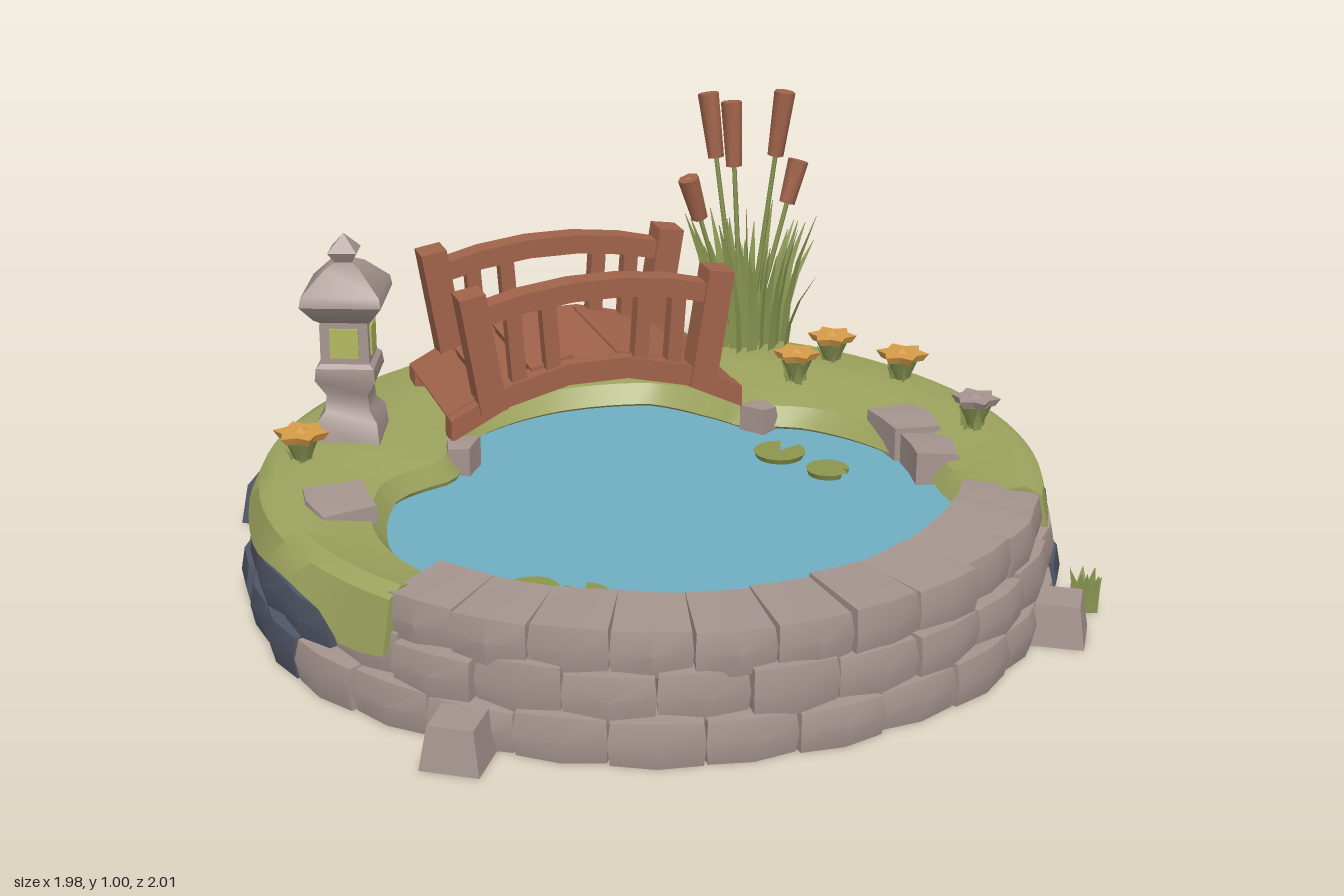
import * as THREE from 'three';
import { mergeGeometries, toCreasedNormals } from 'three/addons/utils/BufferGeometryUtils.js';

const mat = (name, color, side = THREE.FrontSide) => {
  const m = new THREE.MeshStandardMaterial({ color, side });
  m.name = name;
  return m;
};
const RAD = Math.PI / 180;
const V = (x, y, z) => new THREE.Vector3(x, y, z);

export function createModel() {
  const M = {
    stone: mat('warm stone', 0xa5948e),
    dark: mat('dark stone', 0x505666),
    moss: mat('moss green', 0x9ca35d, THREE.DoubleSide),
    water: mat('water blue', 0x70adc2, THREE.DoubleSide),
    wood: mat('red brown wood', 0xa0634a),
    flower: mat('orange petals', 0xd69c4a),
    reed: mat('reed green', 0x8a9752, THREE.DoubleSide),
    lily: mat('lily green', 0x8b954e, THREE.DoubleSide),
    glow: mat('lantern glow', 0xb2ba60),
  };
  const root = new THREE.Group();
  root.name = 'gardenPond';
  const add = (name, geo, material, parent = root) => {
    const mesh = new THREE.Mesh(geo, material);
    mesh.name = name;
    parent.add(mesh);
    return mesh;
  };
  let seed = 7;
  const rnd = (a = 0, b = 1) => {
    seed = (seed * 16807) % 2147483647;
    return a + (b - a) * (seed / 2147483647);
  };
  const crease = (g, deg = 35) => toCreasedNormals(g, deg * RAD);

  // Curved stone block: angle t (degrees from the front), radii, heights, inward slope of the inner face
  const stone = (t, width, r0, r1, y0, y1, slope = 0) => {
    const g = new THREE.BoxGeometry(1, 1, 1, 2, 2, 1);
    const p = g.attributes.position;
    const skew = rnd(-0.008, 0.008), out = rnd(-0.008, 0.012), lift = rnd(-0.006, 0.006);
    for (let i = 0; i < p.count; i++) {
      const u = p.getX(i), v = p.getY(i), w = p.getZ(i);
      const side = Math.abs(u) > 0.4, rim = Math.abs(v) > 0.4;
      const a = (t + u * width * (rim && w > 0 ? 0.96 : 1)) * RAD;
      const r = w > 0 ? r1 - (side ? 0.012 : 0) - (rim ? 0.01 : 0) + out + u * skew * 2 : r0 - slope * (v + 0.5);
      const top = y1 + lift - (side && w > 0 ? 0.007 : 0) + u * skew;
      const y = v > 0.4 ? top : v < -0.4 ? y0 : (y0 + y1) / 2;
      p.setXYZ(i, r * Math.sin(a), y, r * Math.cos(a));
    }
    return crease(g, 30);
  };

  // Stone courses, warm at the front and dark at the back
  const warm = [], cold = [];
  const courses = [[0, 0.102, 0.945, 0.992, 0.08], [0.092, 0.202, 0.87, 0.967, 0.06]];
  courses.forEach(([y0, y1, r0, r1, slope], c) => {
    const n = 30, step = 360 / n;
    for (let i = 0; i < n; i++) {
      const t = -180 + (i + c * 0.5) * step;
      (t > -78 && t < 56 ? warm : cold).push(stone(t, step, r0, r1, y0, y1, slope));
    }
  });
  for (let i = 0; i < 11; i++) warm.push(stone(-57 + i * 10.8, 10.8, 0.75, 0.95, 0.185, 0.293));
  add('warmStoneWall', mergeGeometries(warm), M.stone);
  add('darkStoneWall', mergeGeometries(cold), M.dark);
  add('bankStones', mergeGeometries([
    stone(75, 13, 0.65, 0.775, 0.18, 0.292), stone(89, 13, 0.64, 0.775, 0.18, 0.296),
    stone(-95, 12, 0.7, 0.86, 0.18, 0.3), stone(-131, 10, 0.455, 0.535, 0.18, 0.275),
    stone(121, 9, 0.465, 0.535, 0.18, 0.27)]), M.stone);

  // Water surface
  const water = add('water', new THREE.CircleGeometry(0.82, 48), M.water);
  water.rotation.x = -Math.PI / 2;
  water.position.y = 0.205;

  // Mossy bank: inner edge as [angle, radius], swept as a closed section
  const shore = [[53, 0.77], [60, 0.71], [79, 0.66], [110, 0.55], [125, 0.46], [140, 0.5], [155, 0.56], [180, 0.56],
    [208, 0.55], [217, 0.52], [226, 0.48], [240, 0.48], [252, 0.61], [274, 0.69], [285, 0.72], [299, 0.74]];
  const inner = (t) => {
    const i = Math.max(1, shore.findIndex(([a]) => a >= t));
    const [a0, r0] = shore[i - 1], [a1, r1] = shore[i];
    return r0 + (r1 - r0) * (t - a0) / (a1 - a0);
  };
  const pos = [], idx = [], N = 60, K = 8;
  for (let i = 0; i <= N; i++) {
    const t = 53 + 246 * i / N, r = inner(t), a = t * RAD;
    const hang = 0.205 + 0.014 * Math.sin(t * 0.21) - (i < 5 || i > N - 3 ? 0.05 : 0);
    const low = 0.195 - (t > 210 ? 0.35 * Math.max(0, 0.64 - r) : 0);
    const top = 0.285 + 0.01 * Math.sin(t * 0.06);
    [[r + 0.03, low], [r, 0.215], [r + 0.035, 0.262], [(r + 0.92) / 2, top], [0.9, 0.298], [0.94, 0.278],
      [0.968, hang], [0.9, 0.19]].forEach(([rr, y]) => pos.push(rr * Math.sin(a), y, rr * Math.cos(a)));
    for (let k = 0; k < K && i < N; k++) {
      const p = i * K + k, q = i * K + (k + 1) % K;
      idx.push(p, q, p + K, q, q + K, p + K);
    }
  }
  for (let k = 1; k < K - 1; k++) idx.push(0, k + 1, k, N * K, N * K + k, N * K + k + 1);
  const bank = new THREE.BufferGeometry();
  bank.setAttribute('position', new THREE.Float32BufferAttribute(pos, 3));
  bank.setIndex(idx);
  add('mossBank', crease(bank, 40), M.moss);

  // Loose rocks leaning at the foot of the wall
  [[-0.75, -0.7, 'dark'], [0.88, -0.53, 'dark'], [0.7, 0.73, 'stone'], [-0.76, 0.69, 'stone'],
    [-0.27, -0.95, 'stone']].forEach(([x, z, m], i) => {
    const s = i === 4 ? 0.6 : 1;
    const g = new THREE.CylinderGeometry(0.072 * s, 0.094 * s, 0.1 * s, 4, 1);
    g.rotateY(Math.PI / 4);
    const rock = add('looseRock', crease(g), M[m]);
    rock.position.set(x, 0.05 * s, z);
    rock.rotation.y = Math.atan2(x, z) + 0.15;
  });

  // Arched wooden bridge
  const bridge = new THREE.Group();
  bridge.name = 'bridge';
  bridge.position.set(0.014, 0, -0.51);
  bridge.rotation.y = -0.1;
  root.add(bridge);
  const arch = (u, half, crown, drop) => crown - drop * (u / half) ** 2;
  const beam = (half, crown, drop, thick, depth) => {
    const s = new THREE.Shape(), n = 5;
    for (let i = 0; i <= n; i++) {
      const u = -half + 2 * half * i / n;
      s[i ? 'lineTo' : 'moveTo'](u, arch(u, half, crown, drop) - thick);
    }
    for (let i = n; i >= 0; i--) {
      const u = -half + 2 * half * i / n;
      s.lineTo(u, arch(u, half, crown, drop));
    }
    return new THREE.ExtrudeGeometry(s, { depth, bevelEnabled: false }).translate(0, 0, -depth / 2);
  };
  for (const side of [-1, 1]) {
    const z = side * 0.19;
    add('stringer', beam(0.385, 0.452, 0.12, 0.056, 0.06), M.wood, bridge).position.z = z;
    add('handrail', beam(0.325, 0.66, 0.05, 0.05, 0.06), M.wood, bridge).position.z = z;
    for (const end of [-1, 1]) {
      const post = add('post', new THREE.BoxGeometry(0.068, 0.31, 0.078), M.wood, bridge);
      post.position.set(end * 0.3, 0.497, z);
      post.rotation.z = -end * 0.16;
      for (const u of [0.12, 0.21]) {
        const bar = add('baluster', new THREE.BoxGeometry(0.038, 0.22, 0.04), M.wood, bridge);
        bar.position.set(end * u, 0.53 - u * 0.15, z);
        bar.rotation.z = -end * 0.07;
      }
    }
  }
  for (let i = 0; i < 7; i++) {
    const u = -0.33 + i * 0.11;
    const plank = add('plank', new THREE.BoxGeometry(0.113, 0.028, 0.37), M.wood, bridge);
    plank.position.set(u, arch(u, 0.385, 0.438, 0.12) + rnd(-0.008, 0.008), 0);
    plank.rotation.z = Math.atan(-0.24 * u / 0.385 ** 2) + rnd(-0.06, 0.06);
  }

  // Square stone lantern
  const lantern = new THREE.Group();
  lantern.name = 'lantern';
  lantern.position.set(-0.605, 0, -0.46);
  lantern.rotation.y = 18 * RAD;
  root.add(lantern);
  const profile = [[0.115, 0.27], [0.105, 0.345], [0.078, 0.37], [0.072, 0.41], [0.105, 0.455], [0.1, 0.485], [0.085, 0.495],
    [0.082, 0.6], [0.1, 0.61], [0.14, 0.65], [0.134, 0.675], [0.06, 0.73], [0.03, 0.742], [0.05, 0.768], [0.001, 0.81]];
  add('lanternBody', crease(new THREE.LatheGeometry(profile.map(([r, y]) => new THREE.Vector2(r, y)), 4)), M.stone, lantern);
  for (let i = 0; i < 4; i++) {
    const a = Math.PI / 4 + i * Math.PI / 2;
    const pane = add('lanternWindow', new THREE.BoxGeometry(0.07, 0.075, 0.008), M.glow, lantern);
    pane.position.set(Math.sin(a) * 0.06, 0.548, Math.cos(a) * 0.06);
    pane.rotation.y = a;
  }

  // Bent tapering blade from base to tip
  const blade = (base, tip, w) => {
    const dir = tip.clone().sub(base), a = rnd(-0.9, 0.9), p = [], ix = [];
    for (let i = 0; i <= 3; i++) {
      const s = i / 3, h = w * (1 - s ** 2) + 0.001;
      const c = V(base.x + dir.x * s * s, base.y + dir.y * s, base.z + dir.z * s * s);
      p.push(c.x - h * Math.cos(a), c.y, c.z - h * Math.sin(a), c.x + h * Math.cos(a), c.y, c.z + h * Math.sin(a));
      if (i < 3) ix.push(2 * i, 2 * i + 1, 2 * i + 2, 2 * i + 1, 2 * i + 3, 2 * i + 2);
    }
    const g = new THREE.BufferGeometry();
    g.setAttribute('position', new THREE.Float32BufferAttribute(p, 3));
    g.setIndex(ix);
    g.computeVertexNormals();
    return g;
  };
  const tuft = (name, x, y, z, count, spread, height, w, material) => {
    const list = [];
    for (let i = 0; i < count; i++) {
      const a = i * 2.4, s = Math.sqrt((i + 0.5) / count) * spread;
      const dx = Math.cos(a) * s, dz = Math.sin(a) * s;
      list.push(blade(V(x + dx * 0.5, y, z + dz * 0.5), V(x + dx, y + height * rnd(0.55, 1), z + dz * 0.75), w));
    }
    add(name, mergeGeometries(list), material);
  };
  tuft('reedLeaves', 0.6, 0.28, -0.65, 38, 0.21, 0.39, 0.016, M.reed);
  tuft('footGrass', 0.83, 0, 0.64, 12, 0.055, 0.115, 0.016, M.reed);
  tuft('dryGrass', -0.27, 0, -0.97, 12, 0.075, 0.11, 0.016, M.stone);
  tuft('darkGrass', -0.68, 0, -0.77, 5, 0.05, 0.1, 0.01, M.dark);

  // Cattails
  [[0.52, 0.975, -0.76], [0.57, 0.955, -0.72], [0.675, 0.995, -0.615], [0.4, 0.785, -0.63], [0.75, 0.785, -0.67]].forEach(([x, y, z]) => {
    const top = V(x, y, z), foot = V(0.58 + (x - 0.58) * 0.1, 0.28, -0.65 + (z + 0.65) * 0.1);
    const dir = top.clone().sub(foot), len = dir.length(), head = y > 0.9 ? 0.175 : 0.12;
    const cattail = new THREE.Group();
    cattail.name = 'cattail';
    cattail.position.copy(foot);
    cattail.quaternion.setFromUnitVectors(V(0, 1, 0), dir.normalize());
    root.add(cattail);
    add('cattailStem', new THREE.CylinderGeometry(0.006, 0.008, len, 5).translate(0, len / 2, 0), M.reed, cattail);
    add('cattailHead', crease(new THREE.CylinderGeometry(0.029, 0.022, head, 7).translate(0, len - head / 2, 0), 60), M.wood, cattail);
  });

  // Star flowers on short green stems
  [[-0.77, -0.34, 1, 'flower'], [0.58, -0.34, 0.9, 'flower'], [0.73, -0.42, 0.95, 'flower'], [0.83, -0.22, 1, 'flower'], [0.83, 0.14, 0.9, 'stone']].forEach(([x, z, s, m], n) => {
    const g = new THREE.CylinderGeometry(0.07 * s, 0.055 * s, 0.02, 12, 1);
    const p = g.attributes.position;
    for (let i = 0; i < p.count; i++) {
      const sector = Math.round(Math.atan2(p.getX(i), p.getZ(i)) / (Math.PI / 6));
      const k = sector % 2 ? 0.68 : 1;
      p.setXYZ(i, p.getX(i) * k, p.getY(i), p.getZ(i) * k);
    }
    const petals = add('flowerPetals', crease(g), M[m]);
    petals.position.set(x, 0.357, z);
    petals.rotation.y = n;
    add('flowerCalyx', new THREE.CylinderGeometry(0.042, 0.012, 0.07, 7), M.reed).position.set(x, 0.313, z);
    tuft('flowerLeaves', x, 0.28, z, 8, 0.055, 0.07, 0.01, M.reed);
    add('flowerHeart', new THREE.ConeGeometry(0.022, 0.012, 6), M[m]).position.set(x, 0.372, z);
  });

  // Notched lily pads
  [[0.385, -0.06, 0.066, 2.6], [0.44, 0.09, 0.054, 1], [-0.48, 0.42, 0.06, 0.2], [-0.39, 0.495, 0.06, 3.4]].forEach(([x, z, r, a]) => {
    const pad = add('lilyPad', new THREE.CylinderGeometry(r, r * 0.9, 0.014, 14, 1, false, a, 5.5), M.lily);
    pad.position.set(x, 0.216, z);
  });
  return root;
}
